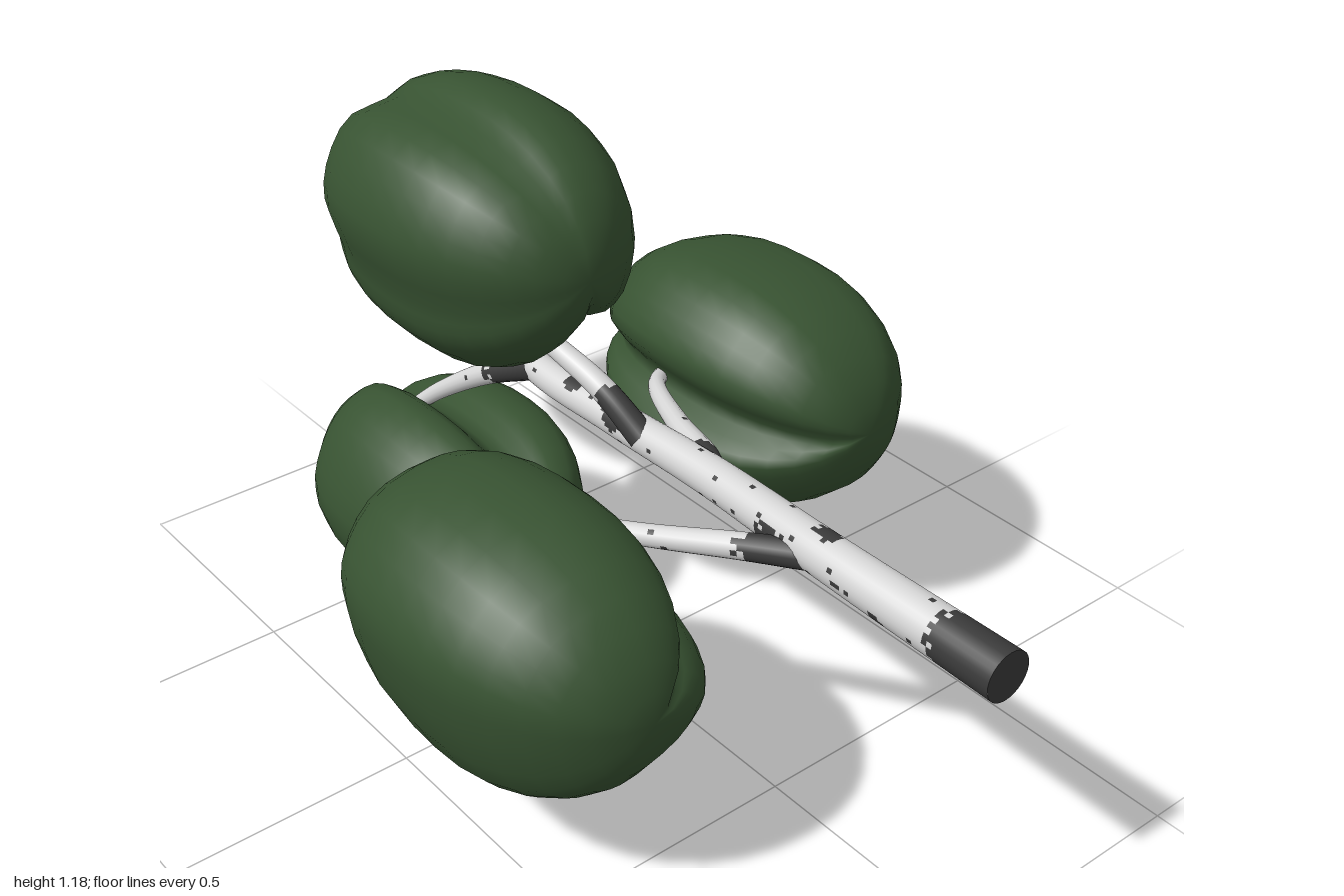
import * as THREE from 'three';

const bark = new THREE.MeshStandardMaterial({ name: 'pale bark', color: 0xd6d6d6 });
const scar = new THREE.MeshStandardMaterial({ name: 'dark bark', color: 0x3a3a3a });
const leaf = new THREE.MeshStandardMaterial({ name: 'leaf green', color: 0x385332 });

let seed = 7;
const rand = () => (seed = (seed * 16807) % 2147483647) / 2147483647;
const V = (p) => new THREE.Vector3(...p);

// Tapered limb along a path; isDark(point, jitter) picks the dark cells
function limb(name, path, r0, r1, segs, sides, isDark) {
  const curve = new THREE.CatmullRomCurve3(path.map(V));
  const geo = new THREE.TubeGeometry(curve, segs, 1, sides, false);
  const pos = geo.attributes.position;
  const p = new THREE.Vector3();
  for (let i = 0; i <= segs; i++) {
    const c = curve.getPointAt(i / segs);
    const r = r0 + (r1 - r0) * (i / segs);
    for (let j = 0; j <= sides; j++) {
      const k = i * (sides + 1) + j;
      p.fromBufferAttribute(pos, k).sub(c).multiplyScalar(r).add(c);
      pos.setXYZ(k, p.x, p.y, p.z);
    }
  }
  const light = [], dark = [], idx = geo.index.array;
  for (let k = 0; k < idx.length; k += 6) {
    p.fromBufferAttribute(pos, idx[k]);
    (isDark(p, rand()) ? dark : light).push(...idx.slice(k, k + 6));
  }
  geo.setIndex([...light, ...dark]);
  geo.clearGroups();
  geo.addGroup(0, light.length, 0);
  geo.addGroup(light.length, dark.length, 1);
  const mesh = new THREE.Mesh(geo, [bark, scar]);
  mesh.name = name;
  return mesh;
}

// Grooved leaf clump: one outline in xy, scaled in rings along z
function clump(name, outline, [cx, cy, cz], hz) {
  const curve = new THREE.CatmullRomCurve3(outline.map(([x, y]) => V([x, y, 0])), true, 'centripetal');
  const n = 36, rings = 16;
  const pts = Array.from({ length: n }, (_, i) => curve.getPoint(i / n));
  const pos = [cx, cy, cz + hz], idx = [];
  for (let i = 1; i < rings; i++) {
    const t = Math.cos((i / rings) * Math.PI);
    const e = t > 0 ? 2.15 : 2.6;
    const s = Math.pow(1 - Math.pow(Math.abs(t), e), 1 / e);
    for (const q of pts) pos.push(cx + (q.x - cx) * s, cy + (q.y - cy) * s, cz + hz * t);
  }
  pos.push(cx, cy, cz - hz * 0.98);
  const last = pos.length / 3 - 1;
  for (let j = 0; j < n; j++) {
    const k = (j + 1) % n;
    idx.push(0, 1 + j, 1 + k);
    for (let i = 0; i < rings - 2; i++) {
      const a = 1 + i * n, b = a + n;
      idx.push(a + j, b + j, a + k, a + k, b + j, b + k);
    }
    const e = 1 + (rings - 2) * n;
    idx.push(e + k, e + j, last);
  }
  const geo = new THREE.BufferGeometry();
  geo.setAttribute('position', new THREE.Float32BufferAttribute(pos, 3));
  geo.setIndex(idx);
  geo.computeVertexNormals();
  const mesh = new THREE.Mesh(geo, leaf);
  mesh.name = name;
  return mesh;
}

export function createModel() {
  const tree = new THREE.Group();
  tree.name = 'lyingTree';

  // Branch paths, starting inside the trunk
  const branches = {
    rightBranch: [[-0.01, 0.575, 0.56], [-0.07, 0.56, 0.45], [-0.15, 0.53, 0.29], [-0.23, 0.505, 0.12], [-0.29, 0.49, 0.02]],
    leftBranch: [[0.01, 0.575, 0.28], [0.065, 0.56, 0.21], [0.12, 0.545, 0.06], [0.2, 0.525, -0.1], [0.29, 0.495, -0.18]],
    upperBranch: [[0.0, 0.58, 0.1], [-0.02, 0.65, 0.0], [-0.045, 0.72, -0.22], [-0.06, 0.8, -0.38]],
    lowerBranch: [[0.0, 0.58, -0.24], [-0.03, 0.52, -0.36], [-0.06, 0.43, -0.49], [-0.08, 0.36, -0.57]],
  };
  const collars = Object.values(branches).map((b) => V(b[0]).lerp(V(b[1]), 0.6));

  // Trunk with dark foot, branch collars, a few blotches and dashes
  const blotches = [[0.02, 0.63, 0.59], [-0.04, 0.55, 0.75], [0.045, 0.58, 0.36], [0, 0.62, -0.1], [0.04, 0.6, 0.02], [0, 0.53, 0.4]].map(V);
  const trunkPath = [[0, 0.585, 1], [0, 0.587, 0.6], [0.015, 0.58, 0.28], [0.01, 0.575, 0], [0.01, 0.575, -0.25], [0.06, 0.61, -0.5], [0.12, 0.67, -0.75]];
  tree.add(limb('trunk', trunkPath, 0.048, 0.025, 160, 28, (p, j) =>
    p.z > 0.855 + j * 0.03 || j < 0.012
    || collars.some((c) => c.distanceTo(p) < 0.04 + j * 0.012)
    || blotches.some((c) => c.distanceTo(p) < 0.022 + j * 0.012)));
  const foot = new THREE.Mesh(new THREE.CircleGeometry(0.048, 28), scar);
  foot.name = 'trunkEnd';
  foot.position.set(0, 0.585, 1);
  tree.add(foot);

  // Side branches, dark near the trunk
  for (const [name, path] of Object.entries(branches)) {
    const start = V(path[0]);
    tree.add(limb(name, path, 0.028, 0.015, 50, 14, (p, j) => start.distanceTo(p) < 0.105 + j * 0.025 || j < 0.008));
  }

  // Leaf clumps, each outline running anticlockwise seen from the front
  tree.add(clump('upperLeaves', [[0.13, 0.93], [0.08, 1.1], [0, 1.165], [-0.09, 1.18], [-0.16, 1.15], [-0.27, 1.13], [-0.33, 1.05],
    [-0.35, 0.96], [-0.32, 0.86], [-0.31, 0.8], [-0.28, 0.75], [-0.2, 0.69], [-0.1, 0.73], [-0.06, 0.79], [0, 0.755], [0.08, 0.79]],
    [-0.11, 0.94, -0.245], 0.33));
  tree.add(clump('leftLeaves', [[0.66, 0.57], [0.61, 0.67], [0.54, 0.725], [0.32, 0.745], [0.23, 0.68], [0.195, 0.6], [0.25, 0.505],
    [0.18, 0.45], [0.23, 0.35], [0.3, 0.28], [0.49, 0.26], [0.6, 0.32], [0.645, 0.39]],
    [0.42, 0.51, -0.055], 0.335));
  tree.add(clump('rightLeaves', [[-0.13, 0.35], [-0.17, 0.45], [-0.255, 0.5], [-0.23, 0.6], [-0.27, 0.66], [-0.38, 0.705], [-0.56, 0.67],
    [-0.65, 0.56], [-0.66, 0.46], [-0.6, 0.265], [-0.52, 0.2], [-0.42, 0.18], [-0.21, 0.25]],
    [-0.4, 0.445, 0.265], 0.355));
  tree.add(clump('lowerLeaves', [[0.13, 0.28], [0.1, 0.39], [0.02, 0.415], [-0.07, 0.39], [-0.15, 0.46], [-0.25, 0.43], [-0.32, 0.34],
    [-0.35, 0.21], [-0.26, 0.055], [-0.08, 0], [0.01, 0.03], [0.08, 0.1]],
    [-0.11, 0.225, -0.395], 0.315));
  tree.add(clump('topLeaves', [[0.38, 0.7], [0.32, 0.8], [0.27, 0.88], [0.19, 0.91], [0.05, 0.87], [-0.03, 0.8], [-0.08, 0.7],
    [-0.01, 0.56], [0.12, 0.47], [0.25, 0.47], [0.34, 0.56]],
    [0.15, 0.69, -0.7], 0.3));
  return tree;
}
